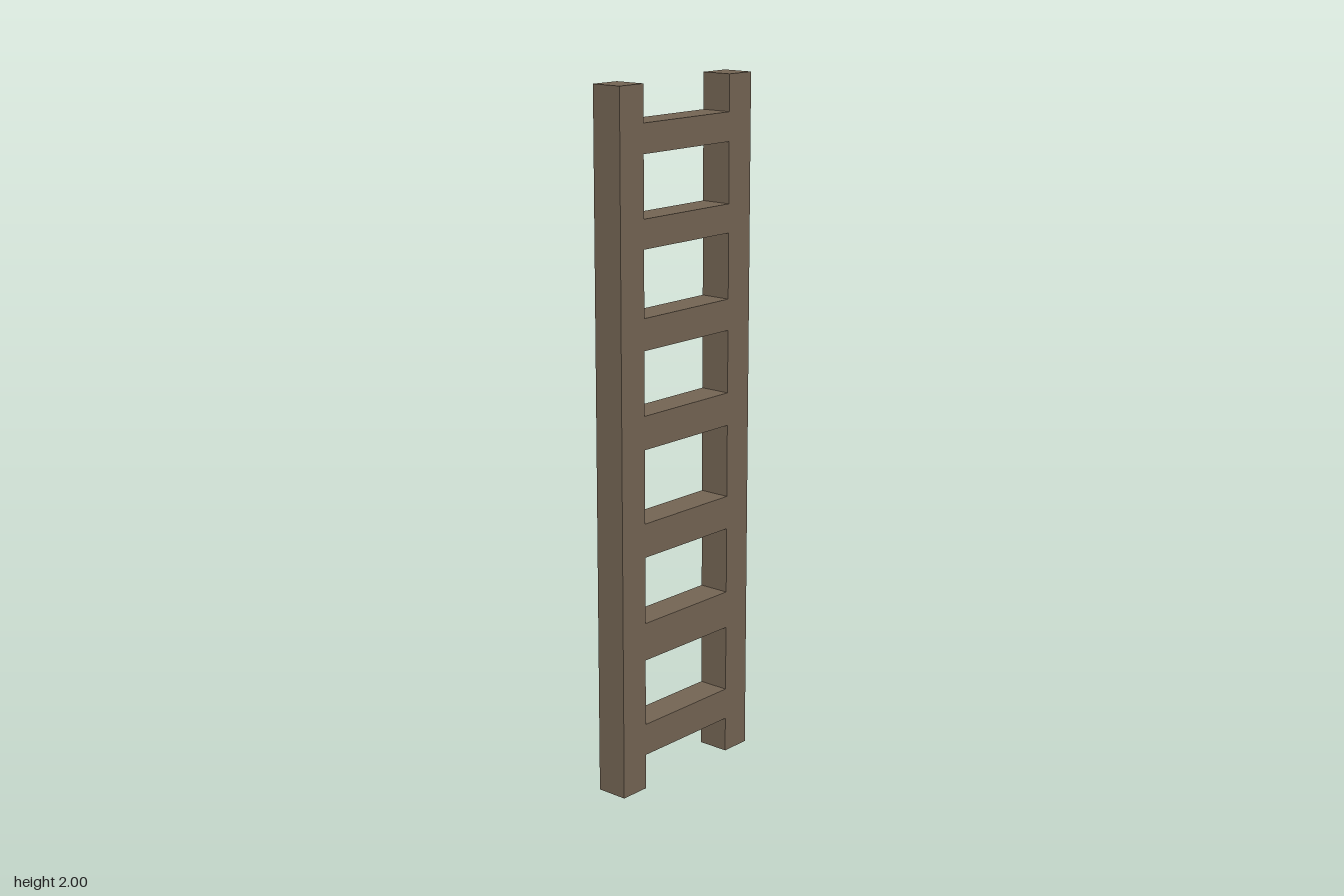
import * as THREE from 'three';

export function createModel() {
  const ladder = new THREE.Group();
  ladder.name = 'ladder';
  const wood = new THREE.MeshStandardMaterial({ color: 0x736453 });
  wood.name = 'brown wood';

  const width = 0.094, outer = 0.27, inner = 0.177;

  const addBeam = (name, y0, y1, z0, z1) => {
    const beam = new THREE.Mesh(new THREE.BoxGeometry(width, y1 - y0, z1 - z0), wood);
    beam.name = name;
    beam.position.set(0, (y0 + y1) / 2, (z0 + z1) / 2);
    ladder.add(beam);
  };

  // Upright rails
  addBeam('frontRail', 0, 2, inner, outer);
  addBeam('backRail', 0, 2, -outer, -inner);

  // Rungs, flush with the rails, as [bottom, top] heights
  const rungs = [
    [0.103, 0.196], [0.39, 0.5], [0.694, 0.792], [1.004, 1.1],
    [1.282, 1.372], [1.56, 1.642], [1.815, 1.897],
  ];
  rungs.forEach(([y0, y1], i) => addBeam(`rung${i + 1}`, y0, y1, -inner, inner));

  return ladder;
}
